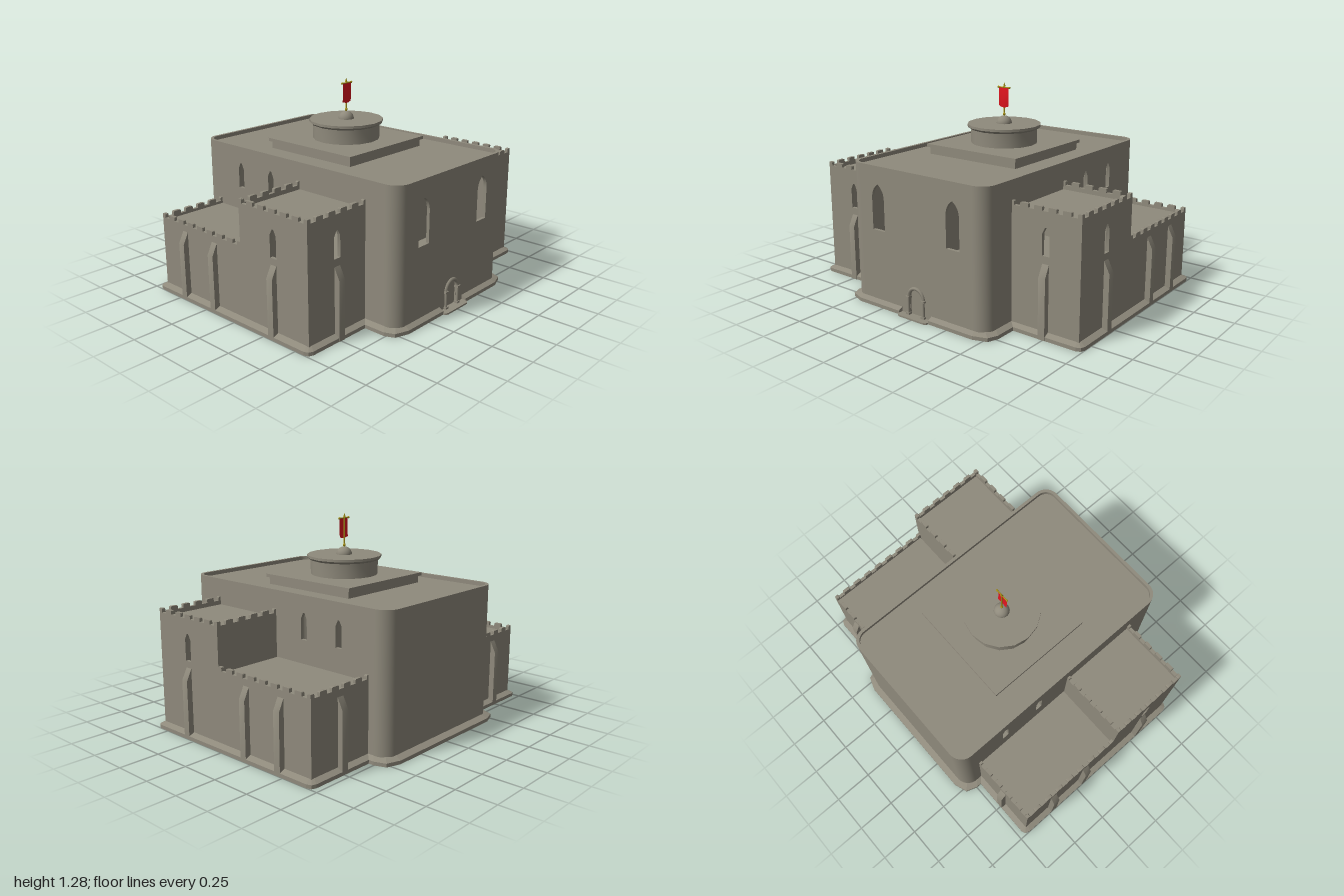
import * as THREE from 'three';
import { toCreasedNormals } from 'three/addons/utils/BufferGeometryUtils.js';
import { ConvexGeometry } from 'three/addons/geometries/ConvexGeometry.js';

const stone = new THREE.MeshStandardMaterial({ color: 0x8f8a7c, side: THREE.DoubleSide });
const gold = new THREE.MeshStandardMaterial({ color: 0xa8941c });
const red = new THREE.MeshStandardMaterial({ color: 0xe0141e, side: THREE.DoubleSide });
const T = 0.02; // wall thickness

function add(parent, name, geo, mat = stone, x = 0, y = 0, z = 0, ry = 0) {
  const m = new THREE.Mesh(geo, mat);
  m.name = name;
  m.position.set(x, y, z);
  m.rotation.y = ry;
  parent.add(m);
  return m;
}
const extrude = (shape, depth, curveSegments = 8) =>
  toCreasedNormals(new THREE.ExtrudeGeometry(shape, { depth, bevelEnabled: false, curveSegments }), 0.5);
const upright = (shape, height) => extrude(shape, height).rotateX(-Math.PI / 2);
const path = pts => new THREE.Path(pts.map(p => new THREE.Vector2(...p)));

// Narrow window with a straight pointed head
const lancet = (u, y0, y1, w) => path([[u - w, y0], [u + w, y0], [u + w, y1 - 0.035],
  [u + w * 0.25, y1], [u - w * 0.25, y1], [u - w, y1 - 0.035], [u - w, y0]]);

// Tall window with a curved pointed head
function gothic(u, y0, y1, w) {
  const p = new THREE.Path();
  p.moveTo(u - w, y0);
  p.lineTo(u + w, y0);
  p.lineTo(u + w, y1 - 0.09);
  p.quadraticCurveTo(u + w, y1 - 0.03, u, y1);
  p.quadraticCurveTo(u - w, y1 - 0.03, u - w, y1 - 0.09);
  p.lineTo(u - w, y0);
  return p;
}
function roundArch(u, y0, spring, w) {
  const p = new THREE.Path();
  p.moveTo(u - w, y0);
  p.lineTo(u + w, y0);
  p.lineTo(u + w, spring);
  p.absarc(u, spring, w, 0, Math.PI, false);
  p.lineTo(u - w, y0);
  return p;
}

// Plain wall panel with holes
function panel(len, h, holes = []) {
  const s = new THREE.Shape([[0, 0], [len, 0], [len, h], [0, h]].map(p => new THREE.Vector2(...p)));
  s.holes.push(...holes);
  return extrude(s, T);
}

// Wall with battlements along the top
function battlement(len, h, holes = [], base = 0) {
  const s = new THREE.Shape(), n = Math.round(len / 0.088), step = len / n, g = 0.02, low = h - 0.024;
  s.moveTo(0, base);
  s.lineTo(len, base);
  s.lineTo(len, h);
  for (let i = n - 1; i >= 0; i--) {
    const c = (i + 0.5) * step;
    s.lineTo(c + g + 0.008, h);
    s.quadraticCurveTo(c + g, h, c + g, h - 0.008);
    s.lineTo(c + g, low);
    s.lineTo(c - g, low);
    s.lineTo(c - g, h - 0.008);
    s.quadraticCurveTo(c - g, h, c - g - 0.008, h);
  }
  s.lineTo(0, h);
  s.holes.push(...holes);
  return extrude(s, T, 3);
}

// Base course: outer outline [x, z] up to a sloped top ending at the inner outline [xi, zi]
function plinth(parent, pts, side, name) {
  const v = [];
  for (const [x, z, xi, zi] of pts) {
    v.push(new THREE.Vector3(x * side, 0, z), new THREE.Vector3(x * side, 0.022, z),
      new THREE.Vector3(xi * side, 0.038, zi));
  }
  add(parent, name, new ConvexGeometry(v));
}

function roundedRect(hx, z0, z1, r) {
  const s = new THREE.Shape(), x = hx - r, H = Math.PI / 2;
  s.absarc(x, -z0 - r, r, 0, H, false);
  s.absarc(-x, -z0 - r, r, H, 2 * H, false);
  s.absarc(-x, -z1 + r, r, 2 * H, 3 * H, false);
  s.absarc(x, -z1 + r, r, 3 * H, 4 * H, false);
  s.closePath();
  return s;
}

function buildHall() {
  const g = new THREE.Group();
  g.name = 'hall';
  const H = 0.865, R = 0.09, X = 0.515, Z0 = -0.81, Z1 = 0.80;
  const w = 2 * (X - R), d = Z1 - Z0 - 2 * R;
  add(g, 'hallFrontWall', panel(w, H, [gothic(w / 2 - 0.285, 0.475, 0.755, 0.048),
    gothic(w / 2 + 0.285, 0.475, 0.755, 0.048), roundArch(w / 2, 0.01, 0.12, 0.05)]), stone, -w / 2, 0, Z1 - T);
  add(g, 'hallBackWall', panel(w, H), stone, -w / 2, 0, Z0);
  const u = z => Z1 - R - z;
  for (const s of [1, -1]) {
    // Side windows and the archway into the wing
    const holes = [lancet(u(-0.19), 0.6, 0.76, 0.023), lancet(u(-0.46), 0.6, 0.76, 0.023),
      roundArch(u(0.31), 0.05, 0.5, 0.17)];
    add(g, 'hallSideWall', panel(d, H, holes), stone, s > 0 ? X - T : -X, 0, Z1 - R, Math.PI / 2);
  }
  // Rounded corners
  const arc = new THREE.Shape();
  arc.absarc(0, 0, R, 0, Math.PI / 2, false);
  arc.absarc(0, 0, R - T, Math.PI / 2, 0, true);
  arc.closePath();
  [[1, Z0 + R], [-1, Z0 + R], [-1, Z1 - R], [1, Z1 - R]].forEach(([s, z], i) =>
    add(g, 'hallCorner', upright(arc, H), stone, s * (X - R), 0, z, i * Math.PI / 2));
  add(g, 'hallRoof', upright(roundedRect(X - 0.01, Z0 + 0.01, Z1 - 0.01, R - 0.01), 0.02), stone, 0, 0.82, 0);
  // Base course, open at the doorway
  const half = [[0.115, 0.83, 0.115, 0.8], [0.44, 0.83, 0.43, 0.8], [0.525, 0.8, 0.49, 0.775],
    [0.55, 0.74, 0.515, 0.71], [0.55, -0.75, 0.515, -0.72], [0.525, -0.82, 0.49, -0.785],
    [0.44, -0.85, 0.43, -0.81], [0.115, -0.85, 0.115, -0.81]];
  for (const s of [1, -1]) plinth(g, half, s, 'hallPlinth');
  plinth(g, [[-0.115, 0.785, -0.115, 0.785], [0.115, 0.785, 0.115, 0.785],
    [0.115, -0.85, 0.115, -0.81], [-0.115, -0.85, -0.115, -0.81]], 1, 'hallPlinthMiddle');
  return g;
}

function buildDoor() {
  const g = new THREE.Group();
  g.name = 'doorway';
  add(g, 'door', new THREE.BoxGeometry(0.12, 0.18, 0.008), stone, 0, 0.095, 0.785);
  add(g, 'doorArch', new THREE.TorusGeometry(0.058, 0.011, 6, 16, Math.PI), stone, 0, 0.12, 0.802);
  for (const s of [1, -1]) {
    add(g, 'doorColumn', new THREE.CylinderGeometry(0.009, 0.009, 0.11, 10), stone, s * 0.058, 0.06, 0.805);
    add(g, 'columnCapital', new THREE.BoxGeometry(0.028, 0.012, 0.028), stone, s * 0.06, 0.116, 0.803);
    add(g, 'columnBase', new THREE.BoxGeometry(0.026, 0.012, 0.026), stone, s * 0.058, 0.016, 0.804);
  }
  add(g, 'doorStep', upright(roundedRect(0.118, 0.76, 0.852, 0.03), 0.01));
  return g;
}

function buildWing(s) {
  const g = new THREE.Group();
  g.name = s > 0 ? 'leftWing' : 'rightWing';
  const X0 = 0.505, X1 = 0.965, len = X1 - X0, ZF = 0.57, ZM = 0.04, ZB = -0.68, HF = 0.75, HB = 0.495;
  const x0 = s > 0 ? X0 : -X1, xSide = s > 0 ? X1 - T : -X1, mid = (X0 + X1) / 2;
  const uWin = s > 0 ? 0.742 - X0 : X1 - 0.742;
  add(g, 'towerFrontWall', battlement(len, HF, [lancet(uWin, 0.475, 0.635, 0.024)]), stone, x0, 0, ZF - T);
  add(g, 'towerSideWall', battlement(ZF - ZM, HF, [lancet(ZF - 0.31, 0.47, 0.635, 0.024)]),
    stone, xSide, 0, ZF, Math.PI / 2);
  add(g, 'towerBackWall', battlement(len, HF), stone, x0, 0, ZM);
  add(g, 'rearSideWall', battlement(ZM - ZB, HB), stone, xSide, 0, ZM, Math.PI / 2);
  add(g, 'rearBackWall', battlement(len, HB), stone, x0, 0, ZB);
  add(g, 'towerRoof', new THREE.BoxGeometry(len - 0.01, T, ZF - ZM - 0.01), stone, s * mid, 0.69, (ZF + ZM) / 2);
  add(g, 'rearRoof', new THREE.BoxGeometry(len - 0.01, T, ZM - ZB - 0.01), stone, s * mid, 0.445, (ZM + ZB) / 2);
  // Buttresses with sloped heads
  const profile = new THREE.Shape([[-0.01, 0], [0.035, 0], [0.035, 0.36], [0, 0.43], [-0.01, 0.43]]
    .map(p => new THREE.Vector2(...p)));
  const geo = extrude(profile, 0.044).translate(0, 0, -0.022);
  for (const z of [0.31, -0.19, -0.46]) add(g, 'buttress', geo, stone, s * X1, 0, z, s > 0 ? 0 : Math.PI);
  add(g, 'buttress', geo, stone, s * 0.742, 0, ZF, -Math.PI / 2);
  add(g, 'buttress', geo, stone, s * 0.742, 0, ZB, Math.PI / 2);
  plinth(g, [[0.5, 0.602, 0.5, ZF], [0.965, 0.602, 0.945, ZF], [0.99, 0.59, 0.96, 0.565], [1, 0.565, X1, 0.55],
    [1, -0.675, X1, -0.66], [0.99, -0.705, 0.96, -0.675], [0.965, -0.715, 0.945, ZB], [0.5, -0.715, 0.5, ZB]], s, 'wingPlinth');
  return g;
}

function buildLantern() {
  const g = new THREE.Group();
  g.name = 'roofLantern';
  g.position.z = -0.04;
  add(g, 'lanternBase', new THREE.BoxGeometry(0.66, 0.05, 0.66), stone, 0, 0.862, 0);
  add(g, 'lanternBaseCornice', new THREE.BoxGeometry(0.69, 0.02, 0.69), stone, 0, 0.895, 0);
  const drum = [[0.21, 0.9], [0.21, 0.995], [0.225, 1.002], [0.232, 1.01], [0.232, 1.025], [0, 1.025]];
  add(g, 'drum', toCreasedNormals(new THREE.LatheGeometry(drum.map(p => new THREE.Vector2(...p)), 16), 0.5));
  add(g, 'dome', new THREE.SphereGeometry(0.048, 20, 10, 0, Math.PI * 2, 0, Math.PI / 2), stone, 0, 1.025, 0);
  // Banner on its pole
  add(g, 'pole', new THREE.CylinderGeometry(0.004, 0.004, 0.2, 8), gold, 0, 1.165, 0);
  add(g, 'poleCollar', new THREE.SphereGeometry(0.009, 10, 8), gold, 0, 1.082, 0);
  add(g, 'poleTip', new THREE.ConeGeometry(0.008, 0.028, 8), gold, 0, 1.268, 0);
  add(g, 'crossbar', new THREE.CylinderGeometry(0.004, 0.004, 0.084, 8).rotateZ(Math.PI / 2), gold, 0, 1.25, 0.004);
  for (const s of [1, -1]) add(g, 'crossbarKnob', new THREE.SphereGeometry(0.007, 8, 6), gold, s * 0.042, 1.25, 0.004);
  const cloth = new THREE.PlaneGeometry(0.074, 0.115, 10, 8), p = cloth.attributes.position;
  for (let i = 0; i < p.count; i++) {
    const x = p.getX(i), t = 0.5 - p.getY(i) / 0.115;
    p.setY(i, p.getY(i) - t * 0.008 * Math.cos(x * 42));
    p.setZ(i, 0.004 * Math.sin(t * 3) + 0.002 * t * Math.cos(x * 80));
  }
  cloth.computeVertexNormals();
  add(g, 'banner', cloth, red, 0, 1.19, 0.005);
  return g;
}

export function createModel() {
  const model = new THREE.Group();
  model.name = 'castle';
  model.add(buildHall(), buildDoor(), buildWing(1), buildWing(-1), buildLantern());
  return model;
}
